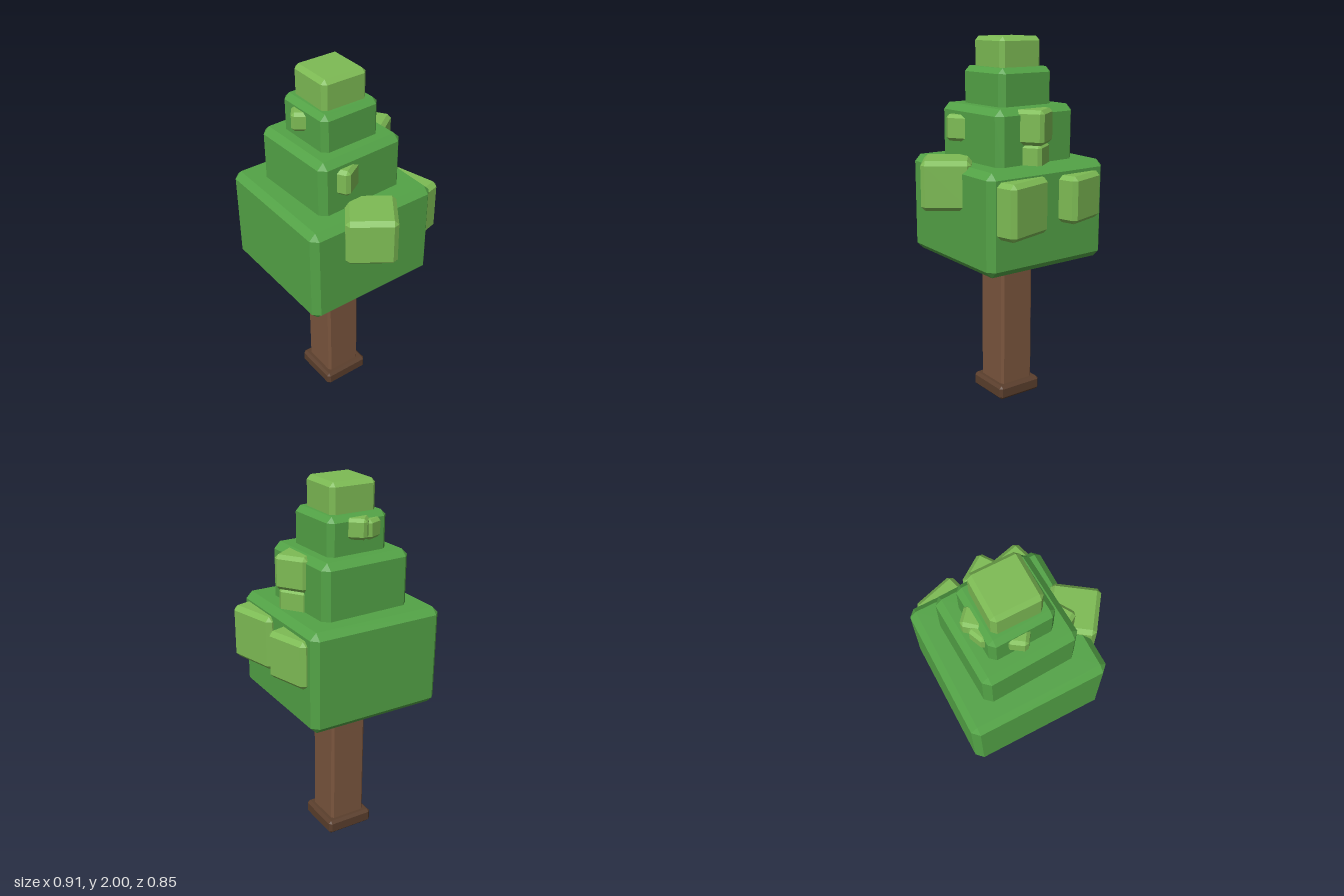
import * as THREE from 'three';
import { ConvexGeometry } from 'three/addons/geometries/ConvexGeometry.js';

// Box with every edge and corner cut by a flat bevel
function bevelledBox(w, h, d, b) {
  const points = [];
  for (const sx of [-1, 1]) for (const sy of [-1, 1]) for (const sz of [-1, 1]) {
    const x = sx * w / 2, y = sy * h / 2, z = sz * d / 2;
    points.push(
      new THREE.Vector3(x, y - sy * b, z - sz * b),
      new THREE.Vector3(x - sx * b, y, z - sz * b),
      new THREE.Vector3(x - sx * b, y - sy * b, z)
    );
  }
  return new ConvexGeometry(points);
}

const material = (color) => new THREE.MeshStandardMaterial({ color, flatShading: true });

export function createModel() {
  const tree = new THREE.Group();
  tree.name = 'blockyTree';

  const bark = material(0x7a553d);
  const darkBark = material(0x5a3e2c);
  const leaf = material(0x53a346);
  const lightLeaf = material(0x7dbb54);

  // Square block given by its width, bottom and top heights, centre and turn
  function block(name, mat, width, bottom, top, x, z, turn, bevel) {
    const mesh = new THREE.Mesh(bevelledBox(width, top - bottom, width, bevel), mat);
    mesh.name = name;
    mesh.position.set(x, (bottom + top) / 2, z);
    mesh.rotation.y = turn;
    tree.add(mesh);
  }

  // Trunk and foot
  block('trunkBase', darkBark, 0.272, 0, 0.08, -0.082, 0.047, 0, 0.015);
  block('trunk', bark, 0.208, 0.04, 0.86, -0.082, 0.047, 0, 0.013);

  // Stacked foliage tiers
  block('lowerFoliage', leaf, 0.752, 0.824, 1.362, -0.082, 0.047, 0.003, 0.035);
  block('middleFoliage', leaf, 0.512, 1.25, 1.652, -0.082, 0.044, 0.042, 0.034);
  block('upperFoliage', leaf, 0.344, 1.55, 1.846, -0.082, 0.044, 0.034, 0.028);
  block('crown', lightLeaf, 0.26, 1.74, 2.0, -0.082, 0.045, 0, 0.022);

  // Leaf clumps poking out of the tiers: size, centre x, y, z, turn
  const clumps = [
    ['rightClump', 0.26, 0.286, 1.26, 0.069, -0.62],
    ['backClumpLarge', 0.292, 0.12, 1.172, -0.256, 0.26],
    ['backClumpSmall', 0.25, -0.254, 1.185, -0.273, 0.29],
    ['middleBackClumpUpper', 0.18, -0.065, 1.555, -0.192, 0.61],
    ['middleBackClumpLower', 0.16, -0.065, 1.39, -0.186, 0.61],
    ['middleSideClump', 0.14, 0.14, 1.53, 0.142, 0.55],
    ['upperFrontClump', 0.1, -0.1, 1.76, 0.205, -0.6],
    ['upperSideClumpBack', 0.105, -0.245, 1.78, 0.045, 0.85],
    ['upperSideClumpFront', 0.1, -0.234, 1.77, 0.11, 0.4],
  ];
  for (const [name, size, x, y, z, turn] of clumps) {
    block(name, lightLeaf, size, y - size / 2, y + size / 2, x, z, turn, 0.012 + size * 0.04);
  }

  return tree;
}
